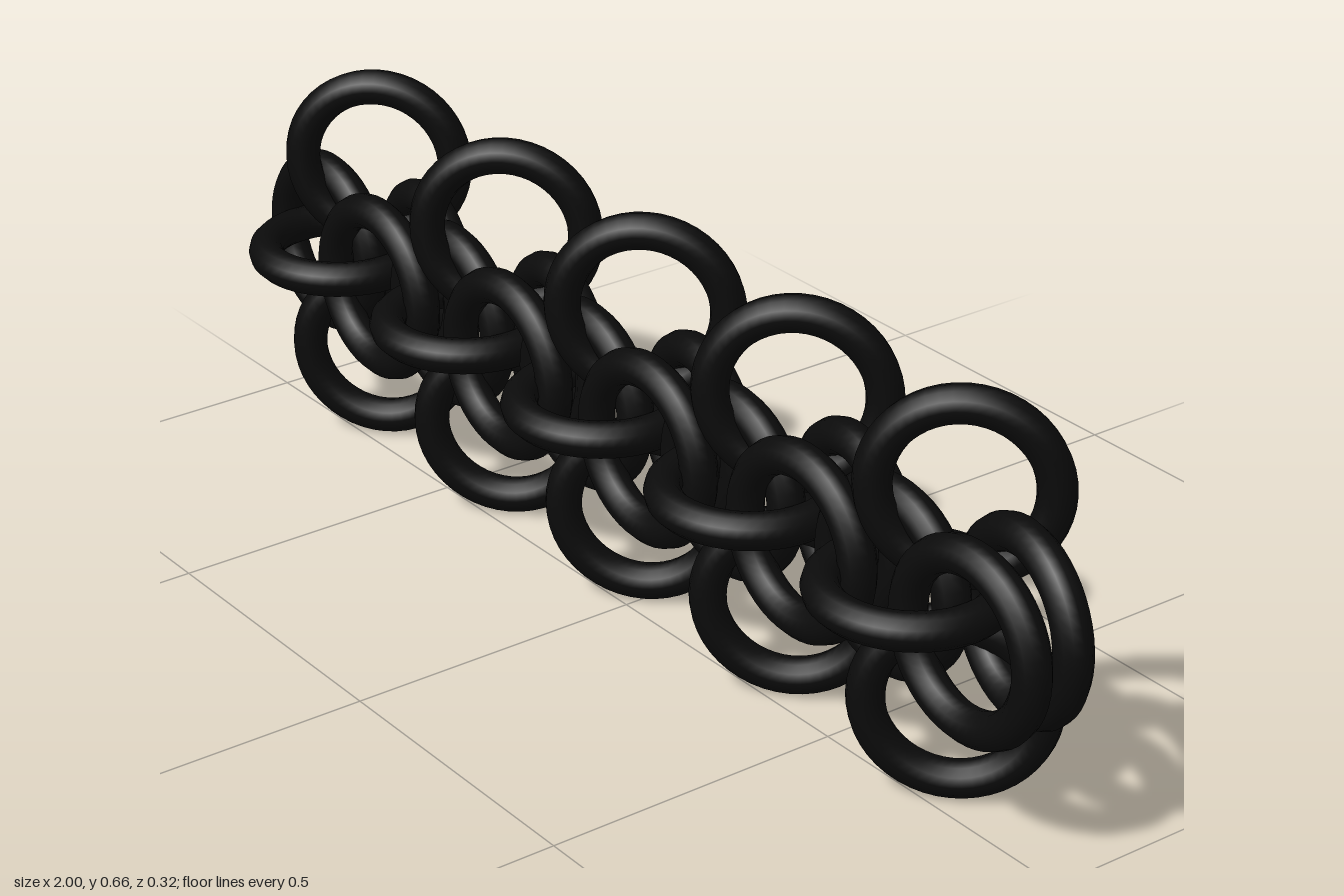
import * as THREE from 'three';

const PITCH = 0.3685; // spacing of the repeating unit
const COUNT = 5;

export function createModel() {
  const chain = new THREE.Group();
  chain.name = 'ringChain';

  const material = new THREE.MeshStandardMaterial({ color: 0x0b0b0b });
  const ringGeometry = new THREE.TorusGeometry(0.129, 0.029, 12, 48);

  // One unit of the weave: centre offset, pitch (x) and yaw (y) of each ring
  const rings = [
    { name: 'backboneRing', x: -0.105, y: 0.33, z: 0, tilt: 0, yaw: 0 },
    { name: 'frontRing', x: 0.105, y: 0.33, z: 0.039, tilt: 0, yaw: 0 },
    { name: 'backRing', x: 0.105, y: 0.33, z: -0.06, tilt: 0, yaw: -0.17 },
    { name: 'flatRing', x: -0.063, y: 0.33, z: 0, tilt: Math.PI / 2, yaw: 0 },
    { name: 'upperRing', x: -0.004, y: 0.501, z: -0.039, tilt: 0, yaw: 0.76 },
    { name: 'lowerRing', x: -0.004, y: 0.158, z: -0.039, tilt: 0, yaw: 0.76 },
  ];

  for (let i = 0; i < COUNT; i++) {
    const unit = new THREE.Group();
    unit.name = `chainUnit${i + 1}`;
    unit.position.x = (i - (COUNT - 1) / 2) * PITCH;
    for (const r of rings) {
      const ring = new THREE.Mesh(ringGeometry, material);
      ring.name = r.name;
      ring.position.set(r.x, r.y, r.z);
      ring.rotation.set(r.tilt, r.yaw, 0);
      unit.add(ring);
    }
    chain.add(unit);
  }
  return chain;
}
